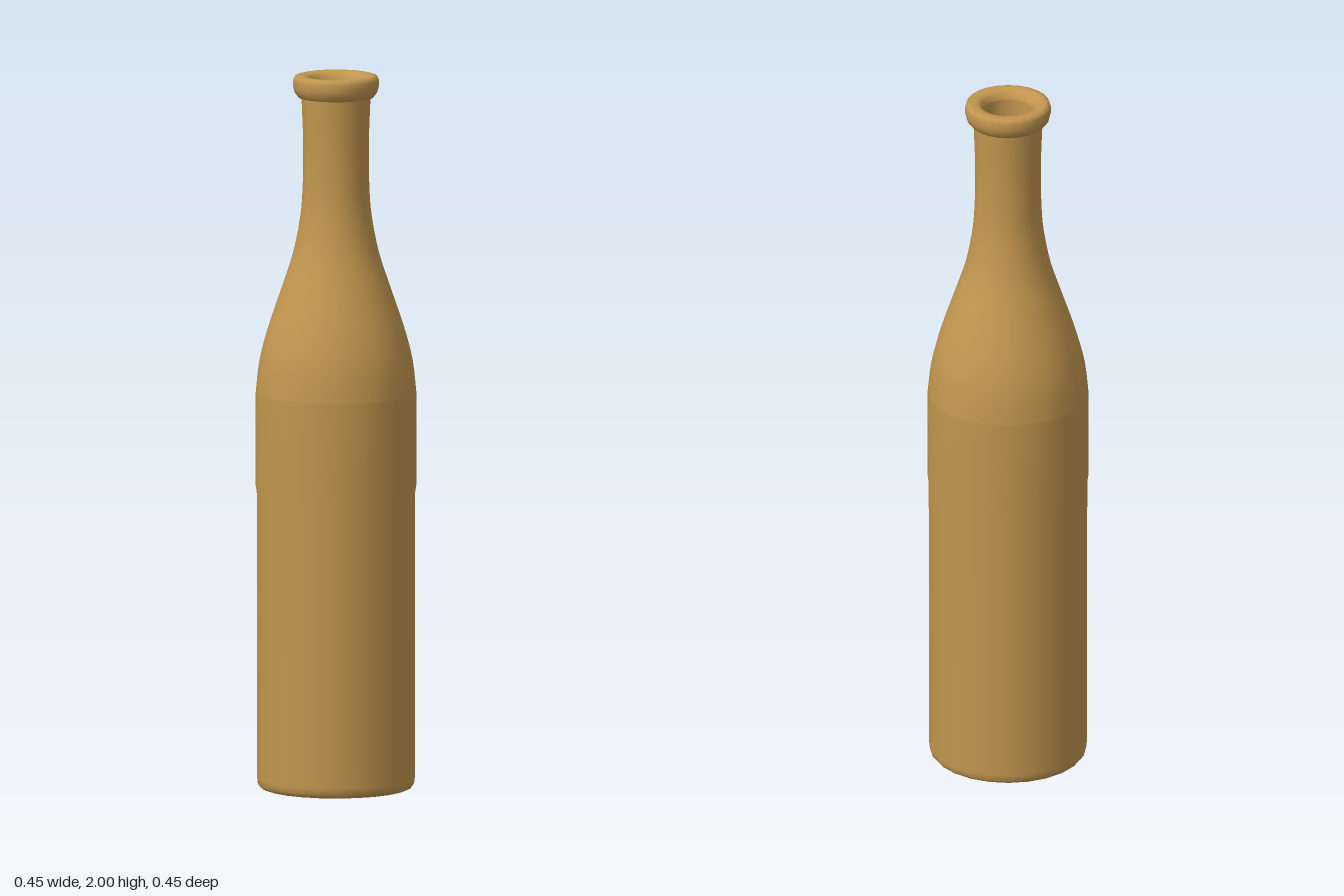
import * as THREE from 'three';

const SIDES = 24;

// Turn a list of [radius, height] points into a smooth round surface
function turned(name, points, material) {
  const profile = points.map(([r, y]) => new THREE.Vector2(r, y));
  const mesh = new THREE.Mesh(new THREE.LatheGeometry(profile, SIDES), material);
  mesh.name = name;
  return mesh;
}

// Sample a smooth curve through a few profile points
function smooth(points, count) {
  const curve = new THREE.SplineCurve(points.map(([r, y]) => new THREE.Vector2(r, y)));
  return curve.getPoints(count).map((p) => [p.x, p.y]);
}

export function createModel() {
  const bottle = new THREE.Group();
  bottle.name = 'bottle';
  const glass = new THREE.MeshStandardMaterial({ color: 0xc2964f });

  // Flat underside
  bottle.add(turned('base', [[0, 0], [0.2, 0]], glass));

  // Rounded heel and straight side, a touch wider above the middle
  bottle.add(turned('body', [
    [0.2, 0], [0.21, 0.004], [0.217, 0.013], [0.219, 0.03],
    [0.22, 0.83], [0.223, 0.85], [0.223, 1.11],
  ], glass));

  // Sloping shoulder running into a slightly waisted neck
  bottle.add(turned('shoulderAndNeck', smooth([
    [0.223, 1.11], [0.213, 1.2], [0.19, 1.29], [0.153, 1.4], [0.12, 1.5],
    [0.1, 1.6], [0.093, 1.68], [0.091, 1.8], [0.096, 1.94],
  ], 24), glass));

  // Rolled lip around the mouth
  bottle.add(turned('lip', [
    [0.094, 1.937], [0.105, 1.939], [0.115, 1.952], [0.119, 1.968],
    [0.119, 1.986], [0.115, 1.997], [0.105, 2], [0.085, 1.998],
    [0.074, 1.99], [0.069, 1.975],
  ], glass));

  // Hollow inside, from the mouth down to the floor
  bottle.add(turned('innerWall', [
    [0.069, 1.975], [0.068, 1.9], [0.07, 1.68], [0.08, 1.58], [0.132, 1.4],
    [0.17, 1.29], [0.2, 1.11], [0.2, 0.05], [0.185, 0.03], [0, 0.03],
  ], glass));

  return bottle;
}
